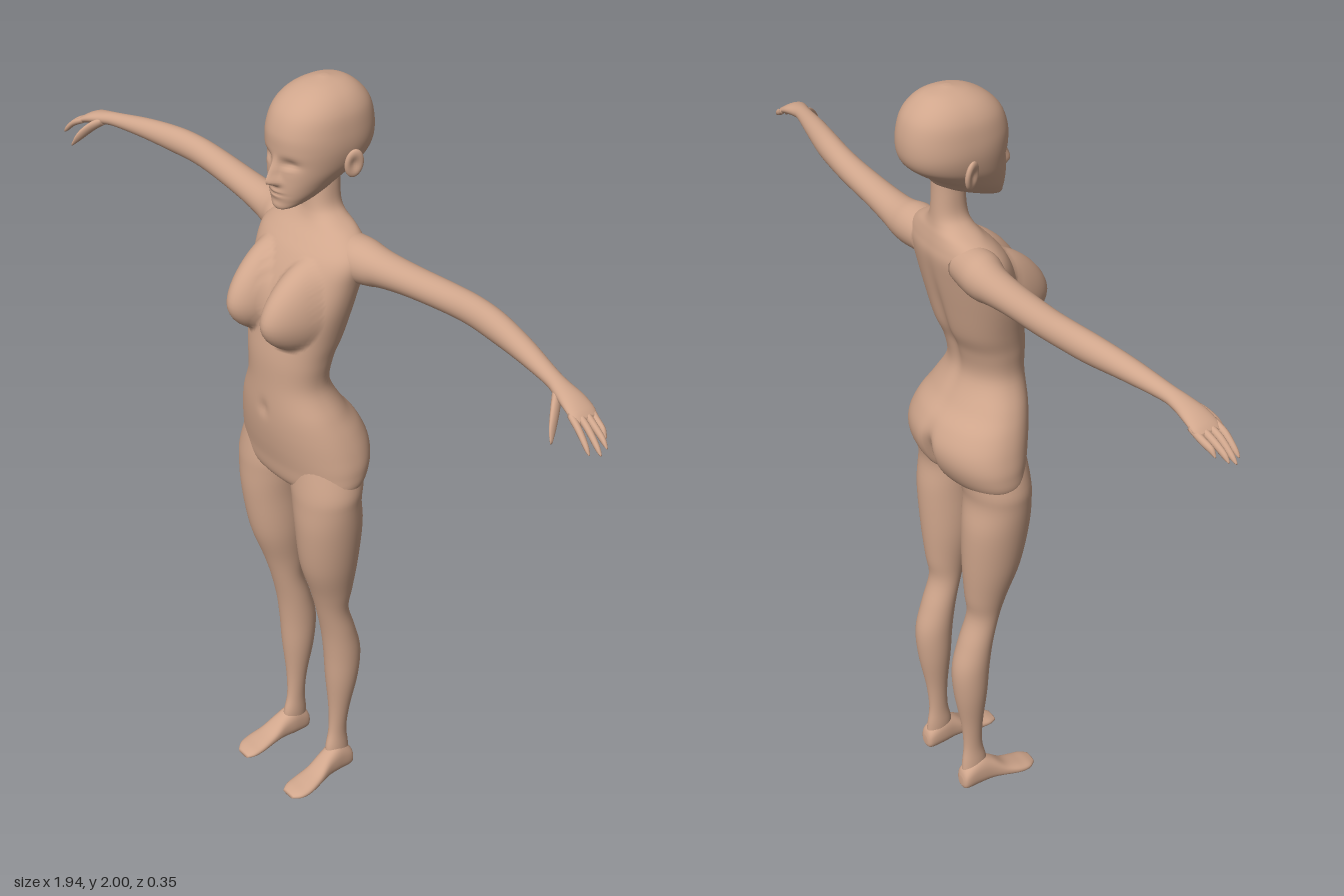
import * as THREE from 'three';

const skin = new THREE.MeshStandardMaterial({ color: 0xd0a68c });
skin.name = 'skin';

// Catmull-Rom curve through four values
function blend(a, b, c, d, t) {
  const cubic = 3 * (b - c) + d - a;
  const square = 2 * a - 5 * b + 4 * c - d;
  return b + 0.5 * t * (c - a + t * (square + t * cubic));
}

// Refinement of a short table of cross-sections
function refine(rows, steps) {
  const out = [], last = rows.length - 1;
  for (let i = 0; i < last; i++) {
    const a = rows[Math.max(i - 1, 0)], b = rows[i], c = rows[i + 1], d = rows[Math.min(i + 2, last)];
    for (let k = 0; k < steps; k++) out.push(b.map((v, j) => blend(a[j], v, c[j], d[j], k / steps)));
  }
  out.push(rows[last]);
  return out;
}

// Closed smooth skin over rings; place(row, c, s) gives one ring point
function loft(rows, place, { steps = 5, seg = 32, power = 2, sculpt = null } = {}) {
  const rings = refine(rows, steps), n = rings.length, pos = [], idx = [];
  const bend = v => Math.sign(v) * Math.pow(Math.abs(v), 2 / power);
  const ends = [new THREE.Vector3(), new THREE.Vector3()];
  rings.forEach((row, j) => {
    for (let k = 0; k < seg; k++) {
      const a = k / seg * Math.PI * 2;
      const p = new THREE.Vector3(...place(row, bend(Math.cos(a)), bend(Math.sin(a))));
      if (sculpt) sculpt(p, Math.sin(a));
      pos.push(p.x, p.y, p.z);
      if (j === 0) ends[0].addScaledVector(p, 1 / seg);
      if (j === n - 1) ends[1].addScaledVector(p, 1 / seg);
    }
  });
  const first = n * seg;
  ends.forEach(e => pos.push(e.x, e.y, e.z));
  for (let k = 0; k < seg; k++) {
    const k1 = (k + 1) % seg;
    for (let j = 0; j < n - 1; j++) {
      const a = j * seg + k, b = j * seg + k1;
      idx.push(a, a + seg, b, b, a + seg, b + seg);
    }
    idx.push(first, k, k1, first + 1, (n - 1) * seg + k1, (n - 1) * seg + k);
  }
  const g = new THREE.BufferGeometry();
  g.setAttribute('position', new THREE.Float32BufferAttribute(pos, 3));
  g.setIndex(idx);
  g.computeVertexNormals();
  return g;
}

// Mirror across x with the faces turned back outwards
function mirrored(geo) {
  const g = geo.clone().scale(-1, 1, 1), ix = g.index.array;
  for (let i = 0; i < ix.length; i += 3) [ix[i], ix[i + 1]] = [ix[i + 1], ix[i]];
  g.computeVertexNormals();
  return g;
}

const bell = (v, w) => Math.exp(-(v * v) / (w * w));
const smooth = THREE.MathUtils.smoothstep;

// Ring placers: upright [y, rx, zFront, zBack, tilt], legs, arms and feet
const upright = ([y, rx, zf, zb, tilt = 0], c, s) => {
  const dz = s * (zf - zb) / 2;
  return [c * rx, y + tilt * dz, (zf + zb) / 2 + dz];
};
const legRing = ([y, xi, xo, zf, zb], c, s) => [(xi + xo) / 2 + c * (xo - xi) / 2, y, (zf + zb) / 2 + s * (zf - zb) / 2];
const armRing = ([x, y, z, ry, rz], c, s) => [x, y + c * ry, z - s * rz];
const footRing = ([z, x, rx, top, bot], c, s) => [x + c * rx, (top + bot) / 2 - s * (top - bot) / 2, z];

// Bust, navel, cleft of the seat and line of the spine
function sculptTorso(p, s) {
  const x = Math.abs(p.x), dy = p.y - 1.475;
  if (s > 0) {
    const u = (x - 0.072) / 0.06, v = dy / (dy > 0 ? 0.13 : 0.085);
    p.z += 0.07 * Math.pow(Math.max(0, 1 - u * u - v * v), 0.8);
    p.z -= 0.006 * bell(x, 0.015) * bell(p.y - 1.2, 0.02);
  } else {
    p.z -= s * 0.035 * bell(x, 0.02) * bell(p.y - 1.04, 0.06);
    p.z -= s * 0.01 * bell(x, 0.022) * bell(p.y - 1.4, 0.14);
  }
}

// Nose, eye sockets and lids, lips and chin
function sculptHead(p, s) {
  if (s <= 0) return;
  const x = Math.abs(p.x), y = p.y;
  const nose = smooth(y, 1.772, 1.787) * (1 - smooth(y, 1.788, 1.855));
  p.z += 0.027 * nose * bell(x, 0.015 - 0.006 * smooth(y, 1.785, 1.81));
  p.z -= 0.012 * bell(x - 0.038, 0.022) * bell(y - 1.832, 0.014);
  p.z += 0.004 * bell(x - 0.038, 0.016) * bell(y - 1.822, 0.007);
  p.z += 0.006 * bell(x, 0.02) * bell(y - 1.757, 0.011);
  p.z -= 0.007 * bell(x, 0.022) * bell(y - 1.756, 0.003);
  p.z += 0.003 * bell(x, 0.018) * bell(y - 1.727, 0.01);
}

export function createModel() {
  const model = new THREE.Group();
  model.name = 'figure';
  const add = (geo, name) => {
    const m = new THREE.Mesh(geo, skin);
    m.name = name;
    model.add(m);
  };
  const pair = (geo, name) => {
    add(geo, name + 'Left');
    add(mirrored(geo), name + 'Right');
  };

  // Torso and neck
  add(loft([
    [0.957, 0.04, 0.04, 0], [0.972, 0.12, 0.075, -0.045], [1.0, 0.186, 0.1, -0.085],
    [1.05, 0.195, 0.11, -0.114], [1.1, 0.187, 0.12, -0.12], [1.15, 0.171, 0.127, -0.1],
    [1.2, 0.148, 0.13, -0.062], [1.27, 0.114, 0.13, -0.03], [1.34, 0.118, 0.13, -0.04],
    [1.4, 0.13, 0.124, -0.065], [1.48, 0.147, 0.113, -0.085], [1.55, 0.157, 0.087, -0.1],
    [1.6, 0.163, 0.06, -0.108], [1.63, 0.148, 0.035, -0.105], [1.655, 0.11, 0.01, -0.1],
    [1.675, 0.064, -0.002, -0.095], [1.7, 0.042, -0.008, -0.092], [1.75, 0.037, -0.012, -0.09],
    [1.79, 0.037, -0.012, -0.09],
  ], upright, { steps: 6, seg: 112, power: 2.15, sculpt: sculptTorso }), 'torso');

  // Head
  add(loft([
    [1.743, 0.018, 0.055, -0.05, -0.3], [1.744, 0.042, 0.081, -0.085, -0.33],
    [1.765, 0.062, 0.085, -0.105, -0.3], [1.79, 0.078, 0.087, -0.135, -0.2],
    [1.82, 0.092, 0.086, -0.158, -0.1], [1.86, 0.1, 0.088, -0.169, 0],
    [1.9, 0.099, 0.086, -0.169, 0], [1.94, 0.091, 0.07, -0.158, 0],
    [1.97, 0.072, 0.04, -0.135, 0], [1.99, 0.043, 0, -0.105, 0], [2.0, 0.008, -0.045, -0.06, 0],
  ], upright, { steps: 9, seg: 128, power: 2.25, sculpt: sculptHead }), 'head');

  // Ears: flattened shells with a hollow outer face
  const ear = new THREE.SphereGeometry(1, 28, 20);
  const ep = ear.attributes.position;
  for (let i = 0; i < ep.count; i++) {
    const r = Math.hypot(ep.getY(i), ep.getZ(i));
    if (ep.getX(i) > 0) ep.setX(i, ep.getX(i) - 0.9 * bell(r, 0.55));
  }
  ear.scale(0.011, 0.036, 0.022).rotateY(-0.4).rotateZ(-0.15).translate(0.106, 1.826, -0.053);
  ear.computeVertexNormals();
  pair(ear, 'ear');

  // Legs, ankle to hip
  pair(loft([
    [0.02, 0.075, 0.115, -0.005, -0.075], [0.08, 0.07, 0.113, 0, -0.072],
    [0.14, 0.07, 0.11, -0.012, -0.066], [0.22, 0.064, 0.118, -0.013, -0.073],
    [0.33, 0.05, 0.135, -0.004, -0.093], [0.42, 0.046, 0.14, 0.002, -0.098],
    [0.5, 0.047, 0.139, 0.012, -0.078], [0.58, 0.05, 0.138, 0.03, -0.054],
    [0.65, 0.045, 0.15, 0.05, -0.062], [0.75, 0.033, 0.172, 0.083, -0.07],
    [0.87, 0.027, 0.19, 0.1, -0.073], [0.95, 0.016, 0.197, 0.102, -0.064],
    [1.0, 0.008, 0.197, 0.1, -0.07], [1.08, 0.02, 0.175, 0.09, -0.08],
  ], legRing, { seg: 40 }), 'leg');

  // Feet, heel to toe
  pair(loft([
    [-0.08, 0.095, 0.012, 0.04, 0.012], [-0.07, 0.095, 0.025, 0.065, 0],
    [-0.03, 0.095, 0.028, 0.09, 0], [0.01, 0.098, 0.028, 0.075, 0.004],
    [0.05, 0.102, 0.032, 0.045, 0.004], [0.09, 0.104, 0.036, 0.03, 0],
    [0.12, 0.103, 0.033, 0.022, 0], [0.14, 0.1, 0.02, 0.014, 0.002],
  ], footRing, { power: 2.4 }), 'foot');

  // Arms, shoulder to palm
  pair(loft([
    [0.08, 1.6, -0.05, 0.05, 0.05], [0.14, 1.599, -0.052, 0.054, 0.054],
    [0.18, 1.598, -0.057, 0.049, 0.048], [0.22, 1.602, -0.06, 0.042, 0.043],
    [0.3, 1.61, -0.063, 0.036, 0.038], [0.42, 1.62, -0.066, 0.034, 0.034],
    [0.5, 1.626, -0.063, 0.034, 0.032], [0.58, 1.628, -0.053, 0.033, 0.031],
    [0.68, 1.627, -0.034, 0.026, 0.027], [0.78, 1.62, -0.013, 0.018, 0.021],
    [0.82, 1.614, -0.005, 0.017, 0.024], [0.86, 1.605, 0, 0.016, 0.031],
    [0.89, 1.593, 0.003, 0.012, 0.033], [0.905, 1.585, 0.004, 0.006, 0.027],
  ], armRing), 'arm');

  // Fingers, then thumb
  [[0.953, 1.543], [0.968, 1.542], [0.966, 1.55], [0.945, 1.557]].forEach(([tx, ty], i) => {
    const z = 0.029 - 0.018 * i, dx = tx - 0.88;
    pair(loft([
      [0.88, 1.595, z, 0.008, 0.008], [0.88 + dx * 0.45, 1.579, z + 0.007, 0.009, 0.008],
      [0.88 + dx * 0.85, ty + 0.011, z + 0.012, 0.008, 0.006], [tx, ty, z + 0.014, 0.002, 0.002],
    ], armRing, { seg: 14 }), 'finger' + (i + 1));
  });
  pair(loft([
    [0.815, 1.61, 0.005, 0.01, 0.012], [0.838, 1.594, 0.028, 0.014, 0.015],
    [0.86, 1.567, 0.054, 0.013, 0.012], [0.874, 1.542, 0.07, 0.004, 0.004],
  ], armRing, { seg: 16 }), 'thumb');

  return model;
}
